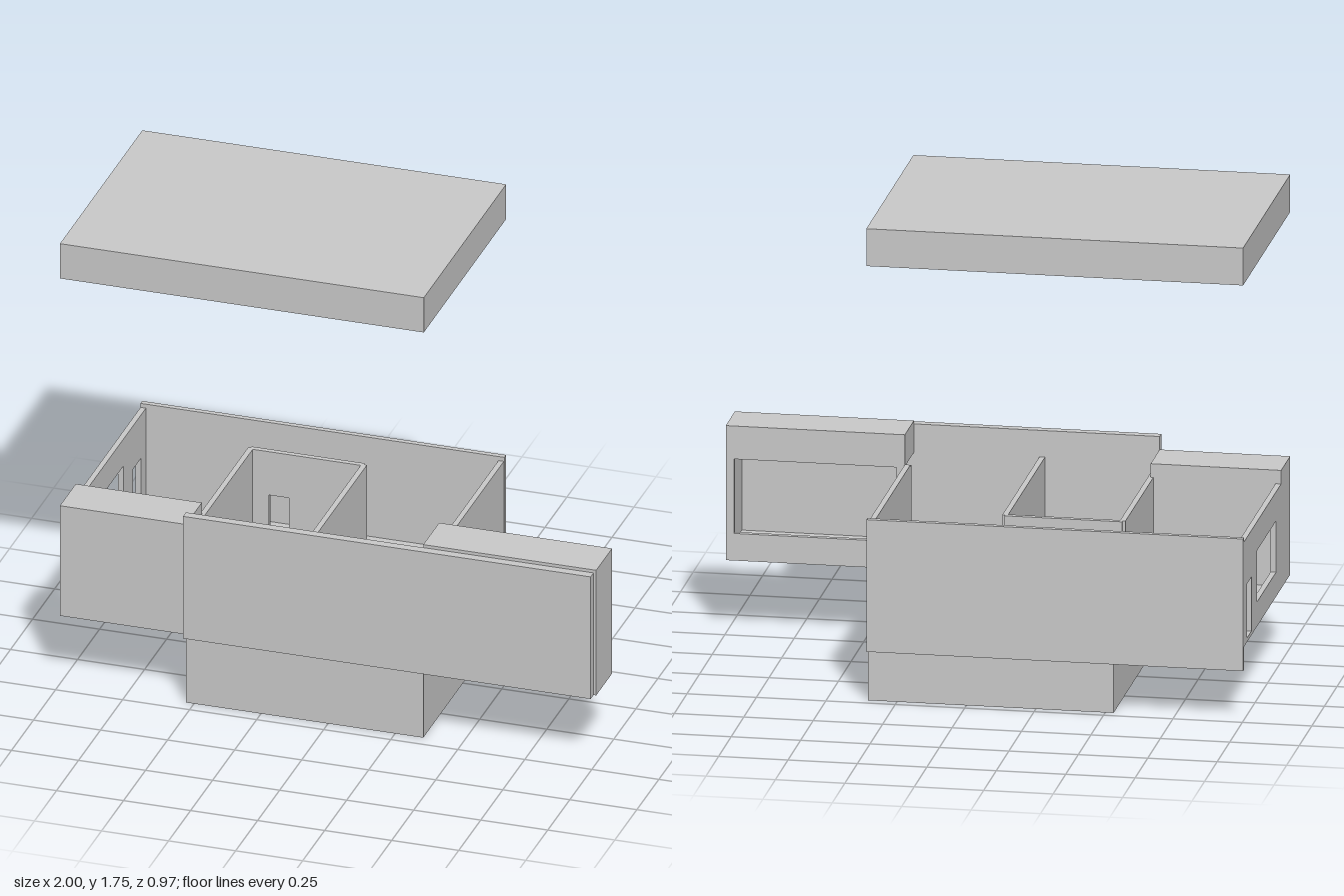
import * as THREE from 'three';

const material = new THREE.MeshStandardMaterial({ color: 0xcccccc });

// Block given by its extents along each axis
function block(name, x0, x1, y0, y1, z0, z1) {
  const mesh = new THREE.Mesh(new THREE.BoxGeometry(x1 - x0, y1 - y0, z1 - z0), material);
  mesh.position.set((x0 + x1) / 2, (y0 + y1) / 2, (z0 + z1) / 2);
  mesh.name = name;
  return mesh;
}

// Upright wall in the xy plane with rectangular openings [u0, u1, v0, v1]
function wallGeometry(u0, u1, v0, v1, thickness, openings) {
  const shape = new THREE.Shape();
  shape.moveTo(u0, v0).lineTo(u1, v0).lineTo(u1, v1).lineTo(u0, v1).closePath();
  for (const [a, b, c, d] of openings) {
    const hole = new THREE.Path();
    hole.moveTo(a, c).lineTo(a, d).lineTo(b, d).lineTo(b, c).closePath();
    shape.holes.push(hole);
  }
  return new THREE.ExtrudeGeometry(shape, { depth: thickness, bevelEnabled: false });
}

// Wall running along x, starting at depth z
function wallAlongX(name, x0, x1, y0, y1, z, thickness, openings) {
  const mesh = new THREE.Mesh(wallGeometry(x0, x1, y0, y1, thickness, openings), material);
  mesh.position.z = z;
  mesh.name = name;
  return mesh;
}

// Wall running along z, starting at x (turned so that its u axis is -z)
function wallAlongZ(name, z0, z1, y0, y1, x, thickness, openings) {
  const turned = openings.map(([a, b, c, d]) => [-b, -a, c, d]);
  const mesh = new THREE.Mesh(wallGeometry(-z1, -z0, y0, y1, thickness, turned), material);
  mesh.rotation.y = Math.PI / 2;
  mesh.position.x = x;
  mesh.name = name;
  return mesh;
}

export function createModel() {
  const house = new THREE.Group();
  house.name = 'house';
  const t = 0.02, top = 0.657, floor = 0.27, back = -0.465;

  // Lifted roof slab
  house.add(block('roof', -1, 0.357, 1.61, 1.748, -0.485, 0.45));

  // Ground storey and upper floor
  house.add(block('groundStorey', -0.53, 0.355, 0, floor, back, 0.45));
  house.add(block('upperFloor', -1, 0.355, floor, floor + 0.01, back, 0.45));

  // Outer walls
  house.add(block('backWall', -1, 0.357, 0.185, 0.673, -0.485, back));
  house.add(block('rightWall', 0.355 - t, 0.355, floor, top, back, 0.27));
  house.add(wallAlongZ('windowWall', back, 0.27, floor, top, -1, t,
    [[-0.41, -0.32, 0.285, 0.485], [-0.21, 0.17, 0.36, 0.55]]));
  house.add(block('frontPanel', -0.53, 0.99, floor, 0.755, 0.45, 0.483));

  // Solid front block beside the panel
  house.add(block('frontBlock', -1, -0.53, floor, 0.707, 0.27, 0.45));

  // Inner partitions
  house.add(block('partition', -0.117, -0.097, floor, top, -0.287, 0.45));
  house.add(block('partition', -0.54, -0.52, floor, top, -0.287, 0.45));
  house.add(wallAlongX('doorPartition', -0.53, -0.107, floor, top, -0.297, t,
    [[-0.46, -0.385, 0.285, 0.485]]));

  // Projecting bay, open towards the room, with a wide rear window
  const bay = new THREE.Group();
  bay.name = 'bay';
  bay.add(block('bayLintel', 0.355, 1, 0.65, 0.767, 0.27, 0.45));
  bay.add(block('bayFloor', 0.355, 0.975, floor, 0.33, 0.29, 0.45));
  bay.add(block('bayEndWall', 0.975, 1, floor, 0.65, 0.27, 0.45));
  bay.add(wallAlongX('bayWindowWall', 0.335, 0.975, floor, 0.65, 0.27, t,
    [[0.385, 0.97, 0.37, 0.645]]));
  house.add(bay);

  return house;
}
